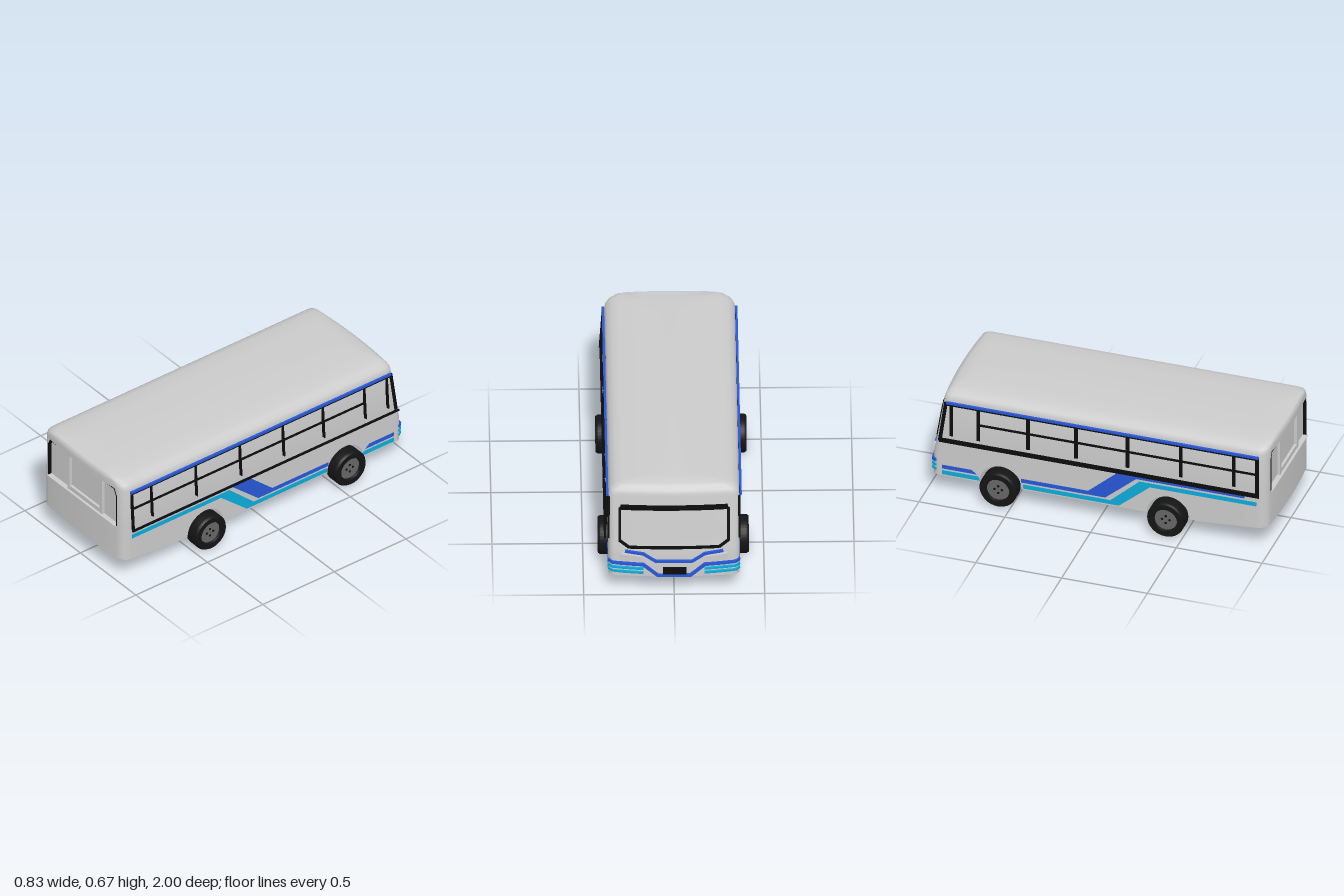
import * as THREE from 'three';
import { toCreasedNormals } from 'three/addons/utils/BufferGeometryUtils.js';

const mat = (color) => new THREE.MeshStandardMaterial({ color, side: THREE.DoubleSide });
const GREY = mat(0xcccccc), BLACK = mat(0x0c0c0c), BLUE = mat(0x2858d8), CYAN = mat(0x0cacdc);
const HUB = mat(0x666666), TYRE = mat(0x141414);
const AXLES = [0.406, -0.571], ARCH = 0.125, CAB_CORNER = 0.035, TAIL_CORNER = 0.055;

// Body sections: [y, half width, cab end z, tail end z]; the lowest y follows the sill
const SECTIONS = [
  [0.11, 0.362, -0.985, 1], [0.25, 0.362, -0.985, 1], [0.3, 0.362, -0.975, 1],
  [0.356, 0.362, -0.965, 1], [0.603, 0.361, -0.925, 1],
  [0.618, 0.357, -0.922, 1], [0.635, 0.348, -0.915, 1], [0.653, 0.322, -0.898, 0.998],
  [0.663, 0.285, -0.878, 0.99], [0.668, 0.19, -0.83, 0.92], [0.672, 0.08, -0.78, 0.8],
];
const WINDOW_SECTION = 3;

// Height of the lower edge along the side, with wheel arches
function sill(z) {
  let y = 0.11 + Math.max(0, z - 0.6) * 0.075;
  for (const c of AXLES) {
    const d = ARCH * ARCH - (z - c) * (z - c);
    if (d > 0) y = Math.max(y, 0.11 + Math.sqrt(d));
  }
  return y;
}

const bow = (x) => 0.02 * (x / 0.36) ** 2;

function sideStations() {
  const zs = [0.86, 0.7, 0.6, 0.15, 0, -0.2, -0.36, -0.75, -0.86];
  for (const c of AXLES) for (let i = 0; i <= 18; i++) zs.push(c + ARCH * Math.cos((i / 18) * Math.PI));
  return zs.sort((a, b) => b - a);
}

// One closed horizontal outline, counter-clockwise from above
function outline([y, hw, zf, zr], lowest) {
  const half = [], k = (zr - zf) / 1.985;
  const rt = Math.min(TAIL_CORNER, hw), rc = Math.min(CAB_CORNER, hw);
  for (const f of [0, 0.33, 0.67]) half.push([f * (hw - rt), zr - bow(f * (hw - rt))]);
  const corner = (end, sign, r) => {
    for (let i = 0; i <= 6; i++) {
      const a = ((sign > 0 ? i : 6 - i) / 6) * Math.PI / 2;
      const x = hw - r + r * Math.sin(a);
      half.push([x, end - sign * (bow(x) + r * (1 - Math.cos(a)))]);
    }
  };
  corner(zr, 1, rt);
  for (const z of sideStations()) half.push([hw, z * k + (zr + zf) / 2 - 0.0075 * k]);
  corner(zf, -1, rc);
  for (const f of [0.67, 0.33, 0]) half.push([f * (hw - rc), zf + bow(f * (hw - rc))]);
  const other = half.slice(1, -1).reverse().map(([x, z]) => [-x, z]);
  return [...half, ...other].map(([x, z]) => [x, lowest ? sill(z) : y, z]);
}

// Lofted shell, open underneath and at the tail window
function bodyShell() {
  const rings = SECTIONS.map((s, i) => outline(s, i === 0)), n = rings[0].length;
  const pos = rings.flat(2), idx = [];
  for (let i = 0; i < rings.length - 1; i++) {
    for (let j = 0; j < n; j++) {
      if (i === WINDOW_SECTION && (j < 3 || j >= n - 3)) continue;
      const a = i * n + j, b = i * n + (j + 1) % n;
      idx.push(a, b, b + n, a, b + n, a + n);
    }
  }
  const top = rings.length * n;
  pos.push(0, 0.673, 0.05);
  for (let j = 0; j < n; j++) idx.push(top - n + j, top - n + (j + 1) % n, top);
  const g = new THREE.BufferGeometry();
  g.setAttribute('position', new THREE.Float32BufferAttribute(pos, 3));
  g.setIndex(idx);
  return toCreasedNormals(g, 0.8);
}

// Point on the skin of the cab end
function cabPoint(x, y, out) {
  let i = 1;
  while (i < SECTIONS.length - 2 && SECTIONS[i + 1][0] < y) i++;
  const a = SECTIONS[i], b = SECTIONS[i + 1];
  const t = THREE.MathUtils.clamp((y - a[0]) / (b[0] - a[0]), 0, 1);
  const over = Math.min(CAB_CORNER, Math.max(0, Math.abs(x) - 0.362 + CAB_CORNER));
  const inset = bow(x) + CAB_CORNER - Math.sqrt(CAB_CORNER * CAB_CORNER - over * over);
  return new THREE.Vector3(x, y, a[2] + (b[2] - a[2]) * t + inset - out);
}

export function createModel() {
  const model = new THREE.Group();
  const add = (name, geo, material, x = 0, y = 0, z = 0, parent = model) => {
    const m = new THREE.Mesh(geo, material);
    m.name = name;
    m.position.set(x, y, z);
    parent.add(m);
    return m;
  };
  const box = (name, w, h, d, material, x, y, z, parent) =>
    add(name, new THREE.BoxGeometry(w, h, d), material, x, y, z, parent);
  // Straight bar between two points
  const bar = (name, p, q, w, h, material, parent) => {
    const m = box(name, w, h, p.distanceTo(q) + 0.003, material, 0, 0, 0, parent);
    m.position.copy(p).lerp(q, 0.5);
    m.lookAt(q);
  };
  // Trim strip that hugs the cab end
  const trim = (name, pts, height, depth, material) => {
    const g = new THREE.Group();
    g.name = name;
    model.add(g);
    for (let i = 0; i < pts.length - 1; i++) {
      const [x0, y0] = pts[i], [x1, y1] = pts[i + 1];
      const n = Math.max(1, Math.ceil(Math.abs(x1 - x0) / 0.08));
      const at = (t) => cabPoint(x0 + (x1 - x0) * t, y0 + (y1 - y0) * t, depth * 0.45);
      const steep = Math.abs(y1 - y0) > Math.abs(x1 - x0) * 2;
      for (let k = 0; k < n; k++)
        bar(name, at(k / n), at((k + 1) / n), steep ? height : depth, steep ? depth : height, material, g);
    }
  };
  const mirrored = (pts) => [...pts, ...pts.slice().reverse().map(([x, y]) => [-x, y])];
  const V = (x, y, z) => new THREE.Vector3(x, y, z);

  add('bodyShell', bodyShell(), GREY);

  // Side stripes, drawn as [z, y]
  const stripes = [
    [BLUE, [[0.85, 0.33], [0.11, 0.33], [-0.06, 0.18], [-0.45, 0.18], [-0.45, 0.157], [0.04, 0.157], [0.22, 0.313], [0.85, 0.313]]],
    [CYAN, [[0.92, 0.3], [0.24, 0.3], [0.07, 0.145], [-0.44, 0.145], [-0.44, 0.12], [0.12, 0.12], [0.3, 0.275], [0.92, 0.275]]],
    [BLUE, [[-0.74, 0.18], [-0.91, 0.18], [-0.91, 0.157], [-0.71, 0.157]]],
    [CYAN, [[-0.7, 0.145], [-0.91, 0.145], [-0.91, 0.12], [-0.69, 0.12]]],
  ];
  for (const s of [1, -1]) {
    const side = s > 0 ? 'left' : 'right';
    for (const [material, pts] of stripes) {
      const shape = new THREE.Shape(pts.map(([z, y]) => new THREE.Vector2(-z, y)));
      const g = new THREE.ExtrudeGeometry(shape, { depth: 0.003, bevelEnabled: false });
      add(side + 'Stripe', g, material, s * 0.3645 - 0.0015, 0, 0).rotation.y = Math.PI / 2;
    }

    // Side window frame; the left one leans out at its foot
    const frame = new THREE.Group();
    frame.name = side + 'WindowFrame';
    model.add(frame);
    const foot = s > 0 ? 0.381 : 0.365;
    const P = (y, z) => V(s * (foot + (0.365 - foot) * (y - 0.34) / 0.24), y, z);
    box('rainGutter', 0.013, 0.013, 1.82, BLUE, s * 0.3685, 0.592, 0.025, frame);
    bar('topRail', P(0.579, 0.93), P(0.579, -0.88), 0.006, 0.013, BLACK, frame);
    bar('middleRail', P(0.48, 0.93), P(0.48, -0.7), 0.006, 0.012, BLACK, frame);
    if (s < 0) bar('bottomRail', P(0.342, 0.935), P(0.342, -0.925), 0.006, 0.027, BLACK, frame);
    else {
      bar('bottomRail', P(0.336, 0.93), P(0.336, -0.93), 0.012, 0.009, BLACK, frame);
      box('innerRail', 0.005, 0.05, 1.78, BLACK, 0.358, 0.44, 0, frame);
    }
    bar('rearPost', P(0.335, 0.925), P(0.585, 0.925), 0.007, 0.02, BLACK, frame);
    bar('cabPost', V(s * 0.361, 0.335, -0.925), V(s * 0.358, 0.585, -0.89), 0.01, 0.02, BLACK, frame);
    for (const z of [0.79, 0.48, 0.17, -0.13, -0.41, -0.7, -0.857])
      bar('windowPost', P(0.38, z), P(0.58, z), 0.006, 0.02, BLACK, frame);

    // Wheels
    for (const z of AXLES) {
      const wheel = new THREE.Group();
      wheel.name = side + (z > 0 ? 'TailWheel' : 'CabWheel');
      wheel.position.set(s * 0.369, 0.109, z);
      wheel.rotation.z = -s * Math.PI / 2;
      model.add(wheel);
      const tread = [[0.064, -0.03], [0.07, -0.048], [0.1, -0.048], [0.108, -0.036], [0.108, 0.036], [0.1, 0.048], [0.07, 0.048], [0.064, 0.03]];
      const tyre = new THREE.LatheGeometry(tread.map(([r, y]) => new THREE.Vector2(r, y)), 36);
      add('tyre', toCreasedNormals(tyre, 0.6), TYRE, 0, 0, 0, wheel);
      add('rim', new THREE.CylinderGeometry(0.066, 0.066, 0.066, 32), HUB, 0, 0, 0, wheel);
      add('hubBlock', new THREE.CylinderGeometry(0.034, 0.034, 0.04, 16), BLACK, 0, -0.049, 0, wheel);
      for (let i = 0; i < 4; i++) {
        const a = (i / 4) * Math.PI * 2;
        add('rimHole', new THREE.CylinderGeometry(0.007, 0.007, 0.003, 10), BLACK,
          0.022 * Math.cos(a), 0.034, 0.022 * Math.sin(a), wheel);
      }
    }

    // Headlights and bumper lines at the cab end
    const lamp = cabPoint(s * 0.24, 0.238, 0.004);
    const light = box(side + 'Headlight', 0.115, 0.036, 0.02, GREY, lamp.x, lamp.y, lamp.z);
    light.rotation.set(0, -s * 0.08, s * 0.12);
    trim(side + 'UpperBumperLine', [[s * 0.27, 0.275], [s * 0.17, 0.262], [s * 0.1, 0.215], [0, 0.215]], 0.014, 0.014, BLUE);
    trim(side + 'BumperLine', [[s * 0.36, 0.205], [s * 0.34, 0.2], [s * 0.17, 0.192], [s * 0.09, 0.122], [0, 0.122]], 0.016, 0.014, BLUE);
    for (const y of [0.168, 0.142])
      trim(side + 'LowerBumperLine', [[s * 0.36, y + 0.005], [s * 0.34, y + 0.003], [s * 0.17, y - 0.004]], 0.012, 0.012, CYAN);

    // Tail window edge with a cut-off upper corner
    bar(side + 'TailWindowEdge', V(s * 0.306, 0.357, 0.976), V(s * 0.306, 0.562, 0.976), 0.007, 0.022, BLACK);
    bar(side + 'TailWindowEdge', V(s * 0.306, 0.562, 0.976), V(s * 0.287, 0.602, 0.976), 0.022, 0.007, BLACK);
    const gusset = new THREE.Shape([new THREE.Vector2(s * 0.308, 0.562), new THREE.Vector2(s * 0.308, 0.604), new THREE.Vector2(s * 0.287, 0.604)]);
    add(side + 'TailWindowCorner', new THREE.ShapeGeometry(gusset), GREY, 0, 0, 0.986);
  }

  // Windscreen surround and grille
  const screen = mirrored([[0.25, 0.298], [0.3, 0.335], [0.3, 0.53]]);
  trim('windscreenFrame', [...screen, screen[0]], 0.016, 0.008, BLACK);
  trim('windscreenTopBand', [[-0.295, 0.537], [0.295, 0.537]], 0.03, 0.008, BLACK);
  box('grille', 0.13, 0.042, 0.026, BLACK, -0.004, 0.152, -0.983);

  // Recessed tail window with its inner hatch frame
  box('tailWindowPanel', 0.62, 0.255, 0.004, GREY, 0, 0.48, 0.965);
  box('tailWindowTop', 0.57, 0.005, 0.022, BLACK, 0, 0.602, 0.978);
  box('tailWindowSill', 0.612, 0.004, 0.034, GREY, 0, 0.356, 0.98);
  for (const x of [-0.128, 0.163]) box('hatchPost', 0.021, 0.244, 0.018, GREY, x, 0.479, 0.975);
  box('hatchTopRail', 0.28, 0.014, 0.016, GREY, 0.0175, 0.592, 0.974);
  box('hatchBottomRail', 0.28, 0.028, 0.016, GREY, 0.0175, 0.371, 0.974);
  return model;
}
